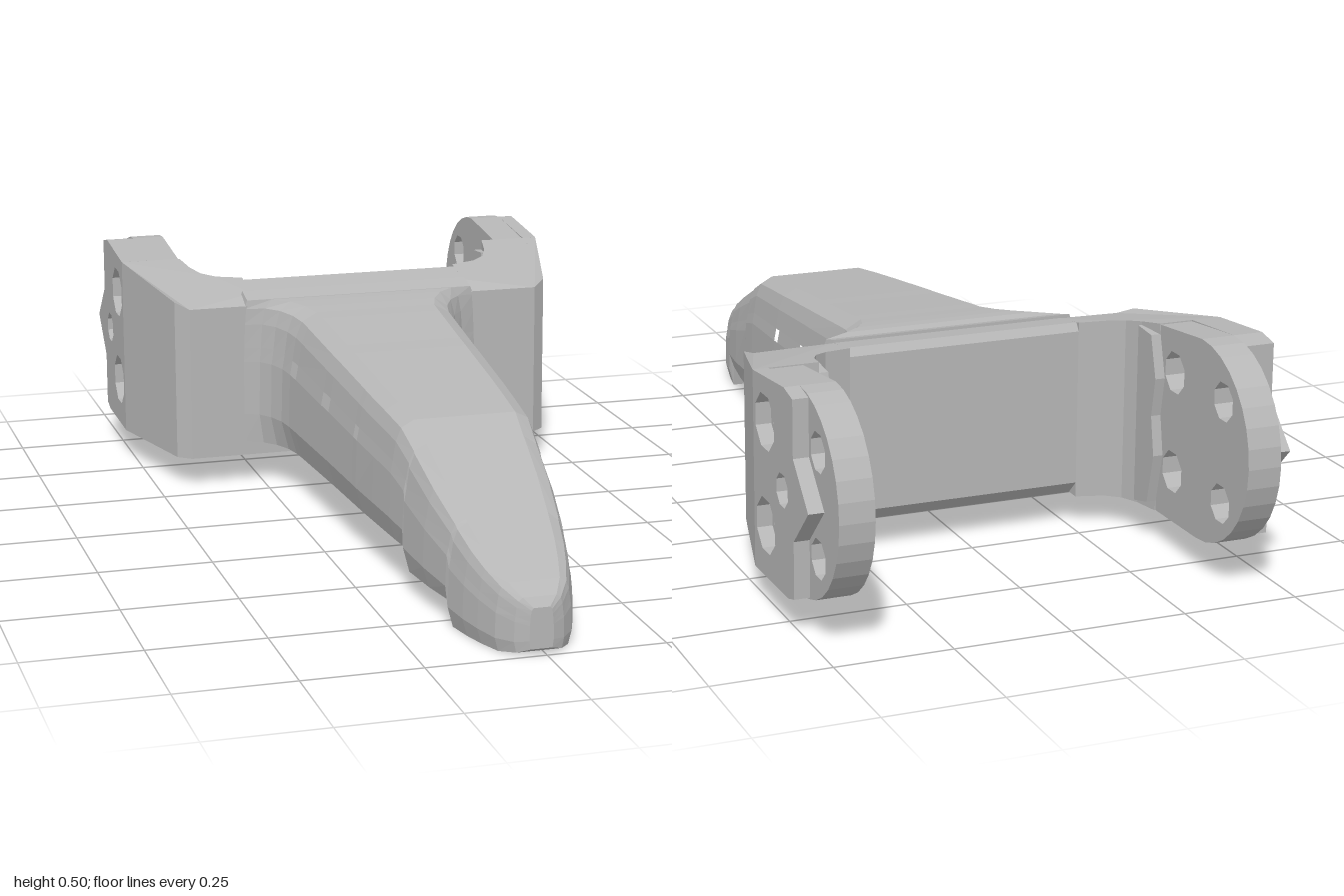
import * as THREE from 'three';

const grey = new THREE.MeshStandardMaterial({ color: 0xb6b6b6 });
grey.name = 'plainGrey';

function add(parent, name, geometry) {
  const flat = geometry.index ? geometry.toNonIndexed() : geometry;
  flat.computeVertexNormals();
  const mesh = new THREE.Mesh(flat, grey);
  mesh.name = name;
  parent.add(mesh);
}

const shapeOf = (pts) => new THREE.Shape(pts.map(([a, b]) => new THREE.Vector2(a, b)));

// Side outline (distance towards the back, height), extruded from x0 to x1
function sideExtrude(shape, x0, x1) {
  const g = new THREE.ExtrudeGeometry(shape, { depth: x1 - x0, bevelEnabled: false, curveSegments: 8 });
  return g.rotateY(Math.PI / 2).translate(x0, 0, 0);
}

// Eight-sided hole
function punch(shape, u, y, r) {
  const pts = [];
  for (let i = 0; i < 8; i++) {
    const a = -((i + 0.5) * Math.PI) / 4;
    pts.push(new THREE.Vector2(u + r * Math.cos(a), y + r * Math.sin(a)));
  }
  shape.holes.push(new THREE.Path(pts));
}

// Tapering beam: lofted rings with three small cross holes
function beamGeometry() {
  // z, half width, bottom, top, how upright the sides are
  const sections = [
    [1, 0.025, 0.015, 0.1], [0.985, 0.052, 0.006, 0.118], [0.95, 0.08, 0, 0.14], [0.9, 0.1, 0, 0.163],
    [0.85, 0.115, 0, 0.187], [0.79, 0.127, 0, 0.217], [0.78, 0.129, 0.05, 0.222],
    [0.68, 0.146, 0.05, 0.27], [0.575, 0.157, 0.05, 0.32], [0.57, 0.157, 0.095, 0.322],
    [0.5, 0.165, 0.096, 0.355], [0.4, 0.173, 0.097, 0.368], [0.295, 0.181, 0.098, 0.38],
    [0.27, 0.182, 0.098, 0.383], [0.1, 0.192, 0.1, 0.402], [0.05, 0.195, 0.1, 0.407],
    [-0.135, 0.206, 0.1, 0.428], [-0.175, 0.209, 0.1, 0.432], [-0.22, 0.215, 0.1, 0.437, 0.15],
    [-0.26, 0.23, 0.1, 0.441, 0.35], [-0.29, 0.25, 0.1, 0.442, 0.6], [-0.312, 0.285, 0.1, 0.438, 0.85],
    [-0.36, 0.285, 0.1, 0.45, 0.85],
  ];
  const holeSpans = [12, 14, 16];
  const half = [[0.91, 0], [1, 0.2], [0.98, 0.57], [0.95, 0.67], [0.91, 0.83], [0.84, 0.94], [0.67, 1]];
  const ring = [...half, ...half.map(([x, f]) => [-x, f]).reverse()];
  const n = ring.length;
  const pos = [], idx = [];
  for (const [z, w, b, t, upright = 0] of sections)
    for (const [x, f] of ring)
      pos.push(-0.012 + w * (x + (Math.sign(x) - x) * upright), b + f * (t - b), z);
  const quad = (a, b, c, d) => idx.push(a, b, c, a, c, d);
  for (let s = 0; s < sections.length - 1; s++) {
    const p = s * n, q = p + n;
    const pierced = holeSpans.includes(s);
    for (let i = 0; i < n; i++) {
      const j = (i + 1) % n;
      if (pierced && (i === 2 || i === n - 4)) continue;
      quad(p + i, q + i, q + j, p + j);
    }
    if (pierced) {
      // inner walls of the cross hole
      const right = [p + 2, q + 2, q + 3, p + 3];
      const left = [p + n - 3, q + n - 3, q + n - 4, p + n - 4];
      for (let k = 0; k < 4; k++) {
        const m = (k + 1) % 4;
        quad(right[k], left[k], left[m], right[m]);
      }
    }
  }
  // end caps
  const last = (sections.length - 1) * n;
  for (let i = 1; i < n - 1; i++) {
    idx.push(0, i, i + 1);
    idx.push(last, last + i + 1, last + i);
  }
  const g = new THREE.BufferGeometry();
  g.setAttribute('position', new THREE.Float32BufferAttribute(pos, 3));
  g.setIndex(idx);
  return g;
}

// Corner block that joins the crossbar to one ear; its top rises to the back
function cornerGeometry(side) {
  const outline = [[0.26, 0.31], [0.42, 0.31], [0.45, 0.335], [0.52, 0.6], [0.38, 0.6],
    [0.368, 0.54], [0.35, 0.5], [0.32, 0.475], [0.26, 0.458], [0.26, 0.36]];
  const shape = shapeOf(outline.map(([x, u]) => [side * x, u]));
  const g = new THREE.ExtrudeGeometry(shape, { depth: 1, bevelEnabled: false });
  g.rotateX(-Math.PI / 2);
  const p = g.attributes.position;
  for (let i = 0; i < p.count; i++) {
    const u = -p.getZ(i);
    const top = u < 0.32 ? 0.425 : 0.435 + 0.165 * (u - 0.31);
    p.setY(i, p.getY(i) > 0.5 ? top : 0.068);
  }
  return g;
}

// Inner ear plate with a round back end
function earShape() {
  const s = new THREE.Shape();
  s.moveTo(0.56, 0.068);
  s.lineTo(0.785, 0.07);
  s.absarc(0.785, 0.285, 0.215, -Math.PI / 2, Math.PI / 2, false);
  s.lineTo(0.56, 0.476);
  for (const y of [0.178, 0.395]) {
    punch(s, 0.67, y, 0.046);
    punch(s, 0.885, y, 0.042);
  }
  return s;
}

// Outer pad with a pointed back edge and a blind middle hole
function padShape() {
  const s = shapeOf([[0.6, 0.068], [0.8, 0.07], [0.835, 0.08], [0.835, 0.2], [0.92, 0.285],
    [0.835, 0.37], [0.835, 0.49], [0.785, 0.5], [0.6, 0.483]]);
  for (const y of [0.178, 0.395]) punch(s, 0.67, y, 0.06);
  punch(s, 0.77, 0.285, 0.036);
  return s;
}

export function createModel() {
  const model = new THREE.Group();
  model.name = 'forkedLever';
  add(model, 'beam', beamGeometry());

  const barProfile = shapeOf([[0.31, 0.068], [0.425, 0.068], [0.458, 0.1], [0.458, 0.44],
    [0.445, 0.457], [0.36, 0.4435], [0.31, 0.425]]);
  add(model, 'crossbar', sideExtrude(barProfile, -0.26, 0.26));

  // the left ear sits further out than the right one
  for (const [side, inner, outer] of [[1, 0.413, 0.487], [-1, 0.382, 0.455]]) {
    const arm = new THREE.Group();
    arm.name = side > 0 ? 'leftArm' : 'rightArm';
    model.add(arm);
    const span = (a, b) => (side > 0 ? [a, b] : [-b, -a]);
    add(arm, 'cornerBlock', cornerGeometry(side));
    add(arm, 'earPlate', sideExtrude(earShape(), ...span(inner, outer)));
    add(arm, 'outerPad', sideExtrude(padShape(), ...span(outer, 0.52)));
    // narrow lip on the inner face
    const lip = shapeOf([[0.54, 0.075], [0.6, 0.09], [0.625, 0.2], [0.61, 0.285], [0.625, 0.37], [0.6, 0.46], [0.54, 0.465]]);
    add(arm, 'innerLip', sideExtrude(lip, ...span(0.36, inner + 0.001)));
  }
  return model;
}
